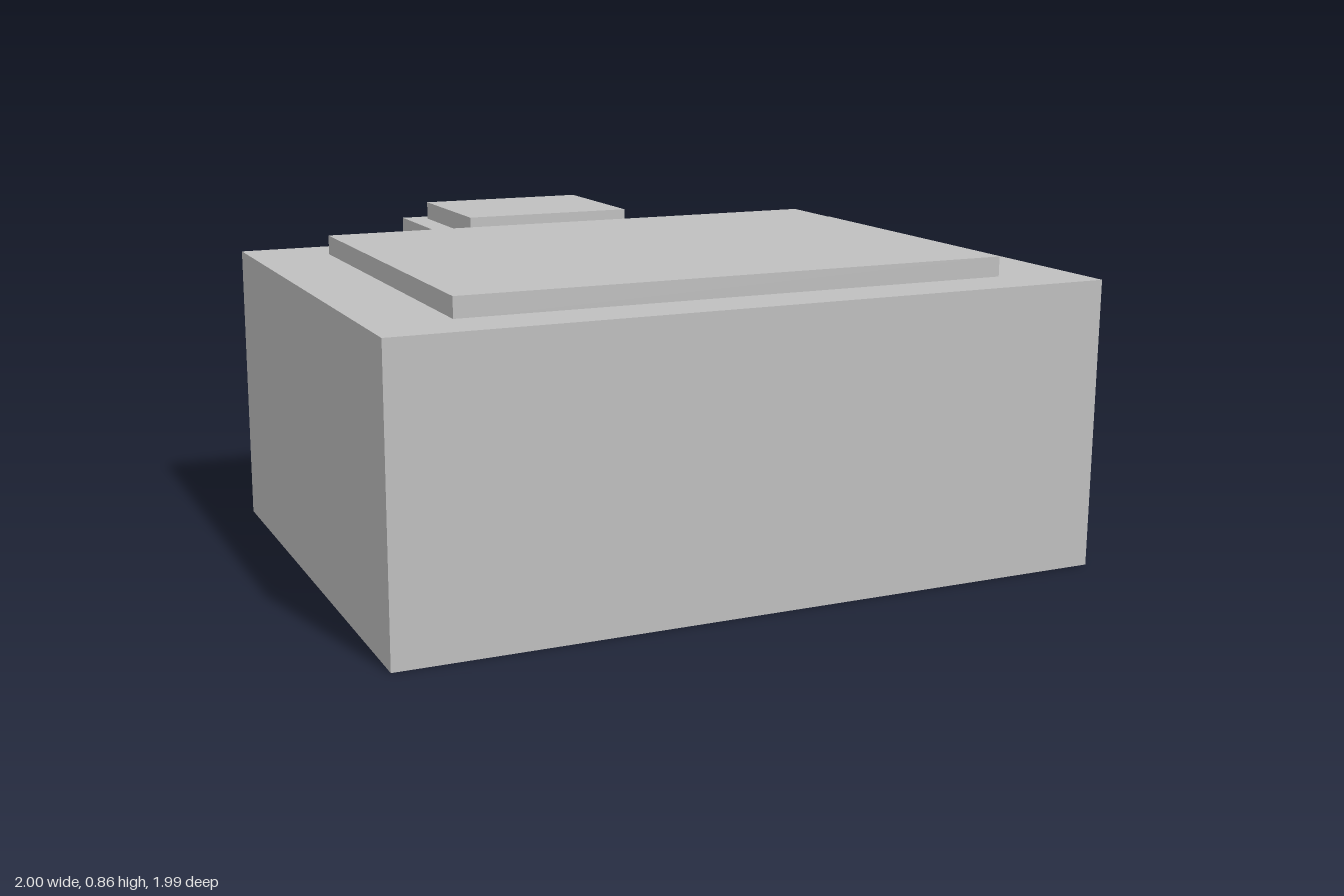
import * as THREE from 'three';

export function createModel() {
  const group = new THREE.Group();
  const grey = new THREE.MeshStandardMaterial({ color: 0xbfbfbf });
  grey.name = 'plain grey';

  const wallTop = 0.8;
  const front = 0.993, step = -0.445, back = -0.993;

  // T-shaped body: wide block with a narrow annex at the back
  const outline = [
    [-1, front], [1, front], [1, step], [0.335, step],
    [0.335, back], [-0.335, back], [-0.335, step], [-1, step],
  ];
  const footprint = new THREE.Shape(outline.map(([x, z]) => new THREE.Vector2(x, -z)));
  const bodyGeometry = new THREE.ExtrudeGeometry(footprint, { depth: wallTop, bevelEnabled: false });
  bodyGeometry.rotateX(-Math.PI / 2);
  const body = new THREE.Mesh(bodyGeometry, grey);
  body.name = 'body';
  group.add(body);

  // Raised roof slabs
  function addSlab(name, halfWidth, zBack, zFront) {
    const height = 0.055;
    const slab = new THREE.Mesh(new THREE.BoxGeometry(halfWidth * 2, height, zFront - zBack), grey);
    slab.name = name;
    slab.position.set(0, wallTop + height / 2, (zBack + zFront) / 2);
    group.add(slab);
  }
  addSlab('mainRoofSlab', 0.778, -0.288, 0.837);
  addSlab('annexRoofSlab', 0.265, -0.94, -0.503);

  return group;
}
